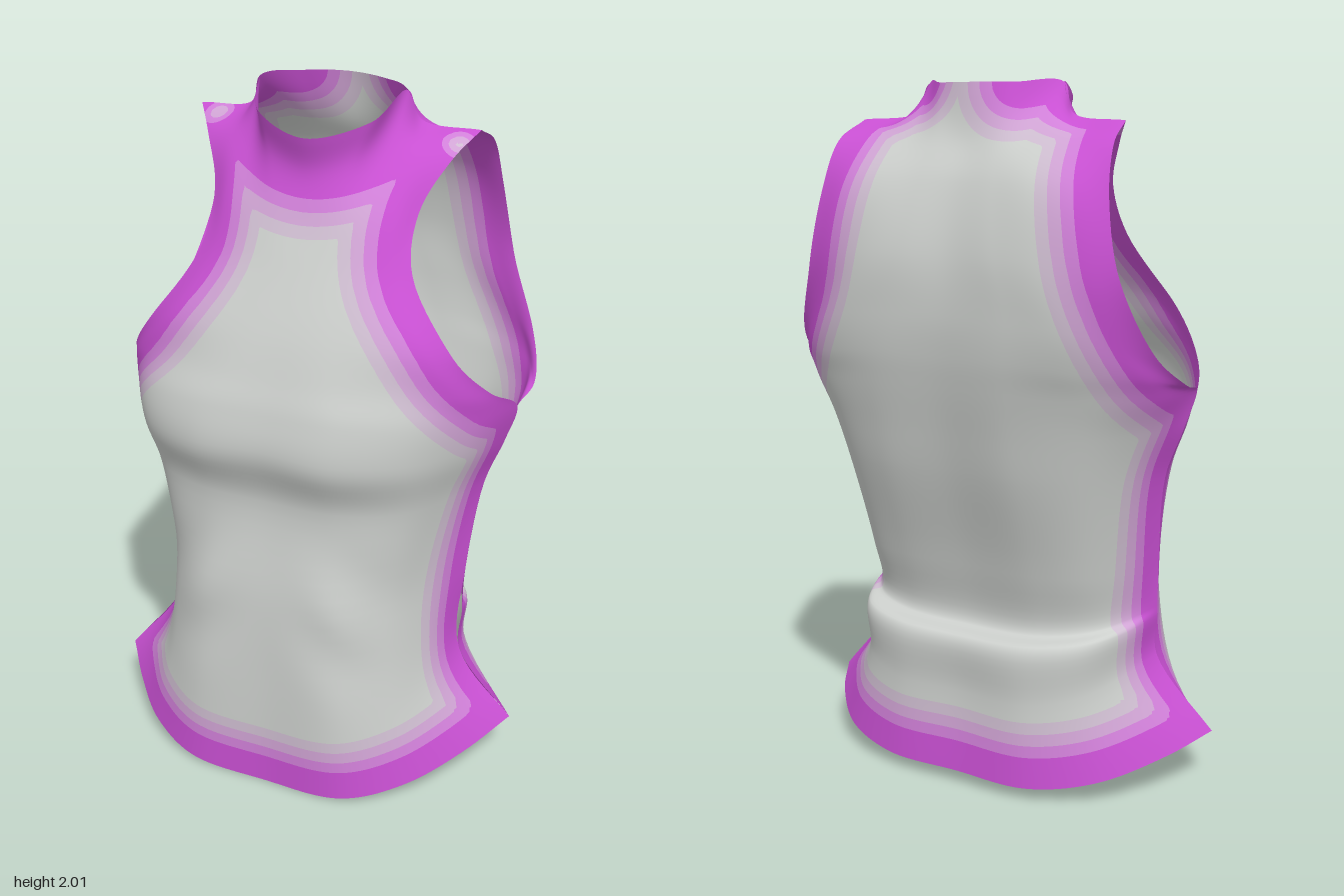
import * as THREE from 'three';

const material = (name, color) =>
  new THREE.MeshStandardMaterial({ name, color, side: THREE.DoubleSide });

// Half cross-sections from hem to neck: centre [y, z], then four [x, y, z] out to the edge
const frontBody = [
  [0, .40, .25, .015, .40, .41, .055, .32, .53, .105, .19, .62, .16, .06],
  [.33, .40, .22, .33, .395, .35, .34, .31, .425, .36, .18, .46, .38, .05],
  [.62, .39, .20, .62, .375, .33, .63, .285, .41, .64, .16, .465, .65, .04],
  [.93, .358, .21, .93, .35, .37, .93, .275, .45, .93, .145, .495, .92, .005],
  [1.09, .41, .21, 1.08, .405, .385, 1.08, .32, .485, 1.07, .17, .545, 1.06, 0],
  [1.21, .395, .21, 1.21, .39, .385, 1.20, .315, .50, 1.18, .17, .575, 1.17, .01],
];
const frontYoke = [
  [1.30, .365, .17, 1.30, .36, .33, 1.30, .31, .46, 1.27, .225, .53, 1.25, .12],
  [1.41, .325, .14, 1.41, .32, .27, 1.41, .30, .37, 1.40, .265, .44, 1.38, .21],
  [1.58, .245, .10, 1.58, .24, .19, 1.58, .225, .26, 1.58, .20, .31, 1.58, .17],
  [1.72, .18, .10, 1.72, .175, .18, 1.73, .15, .25, 1.73, .12, .30, 1.72, .08],
  [1.82, .147, .12, 1.84, .115, .205, 1.87, .03, .27, 1.86, 0, .36, 1.84, -.03],
  [1.91, .165, .165, 1.95, .085, .22, 2.0, -.09, .255, 1.92, -.11, .415, 1.90, -.13],
];
const backBody = [
  [.04, -.285, .24, .04, -.28, .42, .07, -.21, .55, .12, -.07, .62, .16, .06],
  [.28, -.265, .22, .28, -.265, .36, .31, -.20, .43, .35, -.08, .46, .38, .05],
  [.44, -.27, .22, .445, -.265, .365, .46, -.20, .435, .48, -.08, .462, .50, .045],
  [.47, -.195, .22, .475, -.19, .35, .49, -.14, .425, .51, -.05, .462, .53, .045],
  [.65, -.225, .22, .65, -.225, .355, .65, -.175, .43, .65, -.07, .465, .65, .04],
  [.93, -.31, .22, .93, -.315, .38, .93, -.25, .46, .93, -.13, .495, .92, .005],
  [1.07, -.345, .22, 1.07, -.35, .40, 1.07, -.285, .50, 1.07, -.15, .545, 1.06, 0],
  [1.19, -.373, .22, 1.19, -.38, .42, 1.18, -.315, .54, 1.17, -.17, .575, 1.17, .01],
];
const backYoke = [
  [1.28, -.39, .21, 1.28, -.40, .39, 1.26, -.36, .52, 1.24, -.25, .59, 1.20, -.09],
  [1.39, -.40, .20, 1.39, -.41, .36, 1.37, -.39, .47, 1.34, -.32, .553, 1.30, -.23],
  [1.55, -.39, .15, 1.55, -.405, .28, 1.55, -.405, .39, 1.54, -.38, .483, 1.50, -.335],
  [1.74, -.335, .12, 1.74, -.345, .24, 1.74, -.355, .35, 1.73, -.35, .445, 1.71, -.32],
  [1.86, -.27, .10, 1.87, -.265, .20, 1.87, -.24, .32, 1.85, -.245, .43, 1.84, -.255],
  [2.0, -.24, .12, 2.0, -.20, .22, 2.0, -.09, .255, 1.92, -.11, .415, 1.90, -.13],
];

const COLS = 88, STEP = 7;
const curve = (points) => new THREE.CatmullRomCurve3(points, false, 'centripetal');

// Slight twist of the worn garment, shared by both panels so the seams meet
function twist(p) {
  const x = p.x;
  p.x += .14 * THREE.MathUtils.smoothstep(p.y, 1.1, 1.5) * p.z;
  p.z -= .06 * Math.pow(x / .6, 3);
}

// Mirrors a half section and samples it from one edge to the other
function sampleRow(r, side) {
  const half = [];
  for (let k = 2; k < r.length; k += 3) half.push(new THREE.Vector3(r[k], r[k + 1], r[k + 2]));
  const flip = (p, s) => new THREE.Vector3(p.x * s, p.y, p.z);
  const points = [
    ...half.map((p) => flip(p, -side)).reverse(),
    new THREE.Vector3(0, r[0], r[1]),
    ...half.map((p) => flip(p, side)),
  ];
  return curve(points).getPoints(COLS);
}

// Smooth grid through the sections, side = 1 for the front and -1 for the back
function panelGrid(sections, side) {
  const rows = sections.map((r) => sampleRow(r, side));
  const n = (rows.length - 1) * STEP;
  const columns = [];
  for (let j = 0; j <= COLS; j++) columns.push(curve(rows.map((r) => r[j])).getPoints(n));
  const points = [];
  for (let i = 0; i <= n; i++) {
    for (let j = 0; j <= COLS; j++) {
      const p = columns[j][i];
      // Soft diagonal drapes around the waist of the front
      if (side > 0) {
        const w = Math.exp(-(((p.y - .6) / .2) ** 2)) * Math.exp(-(((Math.abs(p.x) - .25) / .12) ** 2));
        p.z += .01 * w * Math.sin(18 * (p.y + .8 * Math.abs(p.x)));
      }
      twist(p);
      points.push(p);
    }
  }
  return { points, n };
}

// Keeps the part of a polygon where sign * (d - level) >= 0; vertices are [x,y,z,nx,ny,nz,d]
function clip(poly, level, sign) {
  const out = [];
  poly.forEach((a, i) => {
    const b = poly[(i + 1) % poly.length];
    const da = sign * (a[6] - level), db = sign * (b[6] - level);
    if (da >= 0) out.push(a);
    if ((da >= 0) !== (db >= 0)) out.push(a.map((v, k) => v + (b[k] - v) * (da / (da - db))));
  });
  return out;
}

function makePanel(name, sections, side, seamRows, bands) {
  const { points, n } = panelGrid(sections, side);
  const at = (i, j) => i * (COLS + 1) + j;

  // Trimmed borders with a width adjustment: hem, side seams, armholes, neck and shoulders
  const border = [];
  for (let j = 0; j <= COLS; j++) {
    border.push([points[at(0, j)], 0]);
    const top = points[at(n, j)];
    if (side > 0) border.push([top, Math.abs(top.x) < .24 ? -.07 : 0]);
    else if (Math.abs(top.x) > .15) border.push([top, .015]);
  }
  for (let i = 0; i <= n; i++) {
    const extra = .025 * (1 - THREE.MathUtils.smoothstep(i / STEP, seamRows - 1, seamRows));
    for (const j of [0, COLS]) border.push([points[at(i, j)], extra]);
  }

  const index = [];
  for (let i = 0; i < n; i++) {
    for (let j = 0; j < COLS; j++) {
      const a = at(i, j), b = at(i, j + 1), c = at(i + 1, j + 1), d = at(i + 1, j);
      index.push(a, b, c, a, c, d);
    }
  }
  const grid = new THREE.BufferGeometry().setFromPoints(points);
  grid.setIndex(index);
  grid.computeVertexNormals();
  const normal = grid.attributes.normal;
  const vertices = points.map((p, i) => {
    let d = Infinity;
    for (const [q, extra] of border) d = Math.min(d, p.distanceTo(q) + extra);
    // Small pale spot on the front of each shoulder
    const spot = Math.hypot(Math.abs(p.x) - .36, p.y - 1.875, p.z + .085);
    if (side > 0) d = Math.max(d, .18 - 1.9 * spot);
    return [p.x, p.y, p.z, normal.getX(i), normal.getY(i), normal.getZ(i), d];
  });

  // One mesh for each colour band, cut along lines of equal distance from the border
  const group = new THREE.Group();
  group.name = name;
  for (const { part, from, to, mat } of bands) {
    const position = [], normals = [];
    for (let k = 0; k < index.length; k += 3) {
      let poly = [0, 1, 2].map((m) => vertices[index[k + m]]);
      poly = clip(clip(poly, from, 1), to, -1);
      for (let m = 1; m + 1 < poly.length; m++) {
        for (const v of [poly[0], poly[m], poly[m + 1]]) {
          position.push(v[0], v[1], v[2]);
          normals.push(v[3], v[4], v[5]);
        }
      }
    }
    const geometry = new THREE.BufferGeometry();
    geometry.setAttribute('position', new THREE.Float32BufferAttribute(position, 3));
    geometry.setAttribute('normal', new THREE.Float32BufferAttribute(normals, 3));
    const mesh = new THREE.Mesh(geometry, mat);
    mesh.name = name + part;
    group.add(mesh);
  }
  return group;
}

export function createModel() {
  const bands = [
    { part: 'Trim', from: -1, to: .09, mat: material('magenta', 0xc850d2) },
    { part: 'InnerTrim', from: .09, to: .124, mat: material('lightMagenta', 0xd080d8) },
    { part: 'PaleTrim', from: .124, to: .158, mat: material('lilac', 0xd0a4d4) },
    { part: 'FaintTrim', from: .158, to: .192, mat: material('paleLilac', 0xcebdd0) },
    { part: 'Cloth', from: .192, to: 9, mat: material('lightGrey', 0xcccfcc) },
  ];
  const model = new THREE.Group();
  model.name = 'sleevelessTop';
  model.add(
    makePanel('frontPanel', [...frontBody, ...frontYoke], 1, frontBody.length - 1, bands),
    makePanel('backPanel', [...backBody, ...backYoke], -1, backBody.length - 1, bands),
  );
  return model;
}
